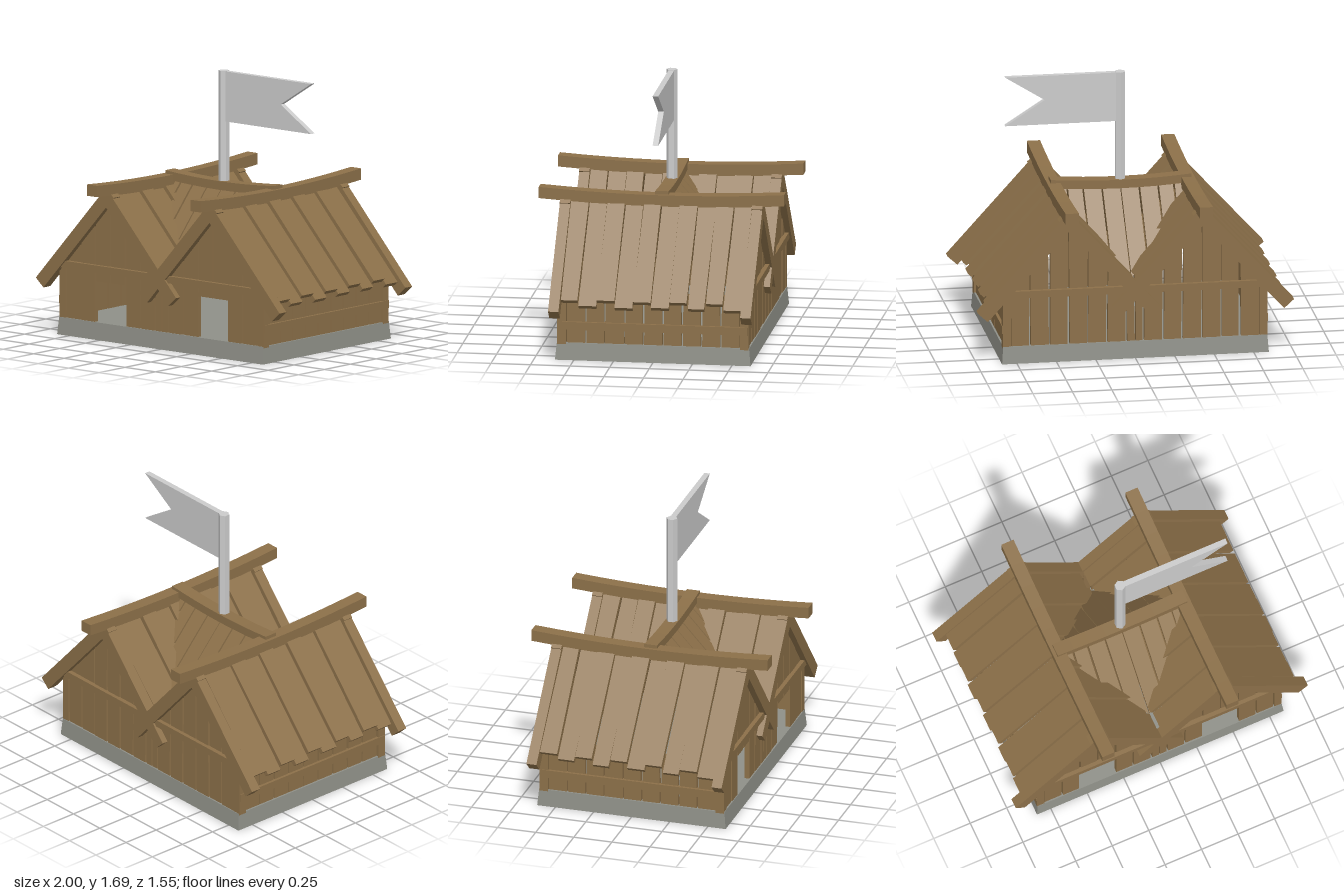
import * as THREE from 'three';

const WOOD = new THREE.MeshStandardMaterial({ color: 0x8c7049, flatShading: true });
const STONE = new THREE.MeshStandardMaterial({ color: 0x8f9088, flatShading: true });
const GREY = new THREE.MeshStandardMaterial({ color: 0xcccccc, flatShading: true });

const PITCH = 0.834;          // roof angle
const RIDGE_X = 0.425, APEX_Y = 0.98;
const COS = Math.cos(PITCH), TAN = Math.tan(PITCH);

// Small repeatable variation in 0..1
let seed = 7;
const vary = () => (seed = (seed * 16807) % 2147483647) / 2147483647;

function add(parent, name, geometry, material, x = 0, y = 0, z = 0) {
  const mesh = new THREE.Mesh(geometry, material);
  mesh.name = name;
  mesh.position.set(x, y, z);
  parent.add(mesh);
  return mesh;
}

// Apply a rule to every vertex
function bend(geometry, rule) {
  const p = geometry.attributes.position;
  const v = new THREE.Vector3();
  for (let i = 0; i < p.count; i++) {
    v.fromBufferAttribute(p, i);
    rule(v);
    p.setXYZ(i, v.x, v.y, v.z);
  }
  geometry.computeVertexNormals();
  return geometry;
}

function slab(points, depth) {
  const shape = new THREE.Shape(points.map(([x, y]) => new THREE.Vector2(x, y)));
  return new THREE.ExtrudeGeometry(shape, { depth, bevelEnabled: false });
}

// Board along a roof slope: from s0 to s1 down the slope, top face at height h
function slopeBoard(parent, name, s0, s1, h, thick, z, width, taper = 0) {
  const g = bend(new THREE.BoxGeometry(s1 - s0, thick, width), v => {
    if (v.x * taper > 0) v.z *= 1 - Math.abs(taper);
  });
  add(parent, name, g, WOOD, (s0 + s1) / 2, h - thick / 2, z);
}

// One gable end made of vertical planks beneath the roof line
function gableWall(side, hasDoors) {
  const wall = new THREE.Group();
  wall.name = side > 0 ? 'frontWall' : 'backWall';
  const top = x => 0.89 - TAN * Math.abs(x - 0.421);
  const edges = [0, 0.055, 0.177, 0.299, 0.421, 0.543, 0.665, 0.787];
  for (const m of [-1, 1]) {
    for (let i = 0; i < 7; i++) {
      const door = hasDoors && (i === 3 || i === 4);
      const bottom = door ? 0.37 : 0.1;
      const gap = () => 0.001 + 0.008 * vary();
      const [a, b, c, d] = [edges[i] + gap(), edges[i + 1] - gap(), edges[i + 1] - gap(), edges[i] + gap()];
      const pts = [[a, bottom], [b, bottom], [c, top(c)], [d, top(d)]].map(([x, y]) => [x * m, y]);
      add(wall, 'wallPlank', slab(pts, 0.03), WOOD, 0, 0, side * 0.585 - 0.015 + 0.006 * (vary() - 0.5));
    }
    add(wall, 'tieBeam', new THREE.BoxGeometry(0.78, 0.045, 0.03), WOOD, m * 0.425, 0.452, side * 0.612);
  }
  return wall;
}

// Side wall with planks, a rail and corner posts
function sideWall(m) {
  const wall = new THREE.Group();
  wall.name = m > 0 ? 'leftWall' : 'rightWall';
  for (let i = 0; i < 9; i++) {
    const w = 0.121 - 0.01 * vary();
    const g = bend(new THREE.BoxGeometry(0.03, 0.34, w), v => { if (v.y > 0) v.z *= 0.95; });
    add(wall, 'sidePlank', g, WOOD, m * 0.81, 0.27, (i - 4) * 0.122);
  }
  add(wall, 'rail', new THREE.BoxGeometry(0.03, 0.05, 1.2), WOOD, m * 0.828, 0.22, 0);
  for (const s of [-1, 1])
    add(wall, 'cornerPost', new THREE.BoxGeometry(0.05, 0.34, 0.055), WOOD, m * 0.813, 0.27, s * 0.577);
  return wall;
}

// Roof over one ridge: two slopes of planks, barge boards and a curved ridge beam
function gableRoof(m) {
  const roof = new THREE.Group();
  roof.name = m > 0 ? 'leftRoof' : 'rightRoof';
  for (const d of [-1, 1]) {
    const outer = d === m;
    const slope = new THREE.Group();
    slope.name = outer ? 'outerSlope' : 'innerSlope';
    slope.position.set(m * RIDGE_X, APEX_Y, 0);
    slope.rotation.set(0, d < 0 ? Math.PI : 0, -PITCH);
    for (let i = 0; i < 10; i++) {
      const low = i % 2 === 0;
      const end = outer ? (low ? 0.795 : 0.765) + 0.01 * (vary() - 0.5) : 0.632;
      const taper = (0.03 + 0.07 * vary()) * (vary() > 0.5 ? 1 : -1);
      slopeBoard(slope, 'roofPlank', 0.02, end, low ? -0.025 : -0.005, 0.033, (i - 4.5) * 0.1145, 0.113, taper);
    }
    for (const s of [-1, 1])
      slopeBoard(slope, 'bargeBoard', 0, 0.857, 0, 0.084, s * 0.607, 0.066);
    roof.add(slope);
  }
  const beam = bend(new THREE.BoxGeometry(0.084, 0.072, 1.55, 1, 1, 10), v => {
    v.y += 0.028 * (v.z / 0.775) ** 2;
  });
  add(roof, 'ridgeBeam', beam, WOOD, m * RIDGE_X, 0.952, 0);
  return roof;
}

// Small roof bridging the two ridges, narrowing into the valleys
function crossRoof() {
  const roof = new THREE.Group();
  roof.name = 'crossRoof';
  const edges = [0, 0.12, 0.24, 0.34, 0.42];
  for (const side of [0, Math.PI]) {
    const slope = new THREE.Group();
    slope.name = 'crossSlope';
    slope.rotation.y = side;
    for (const m of [-1, 1]) {
      for (let i = 0; i < 4; i++) {
        const a = edges[i] + 0.003, b = edges[i + 1] - 0.003 - 0.008 * vary();
        const len = x => -(0.435 - x) / COS;
        const pts = [[a, 0], [b, 0], [b, len(b)], [a, len(a)]].map(([x, y]) => [x * m, y]);
        const plank = add(slope, 'crossPlank', slab(pts, 0.025), WOOD, 0, 0.93, 0);
        plank.rotation.x = PITCH - Math.PI / 2;
      }
    }
    roof.add(slope);
  }
  const beam = bend(new THREE.BoxGeometry(0.89, 0.055, 0.084, 8, 1, 1), v => {
    v.y += 0.02 * (v.x / 0.445) ** 2;
  });
  add(roof, 'crossBeam', beam, WOOD, 0, 0.963, 0);
  return roof;
}

export function createModel() {
  const model = new THREE.Group();
  model.name = 'twinGableLodge';

  // Stone plinth, slightly narrower at the top
  const plinth = bend(new THREE.BoxGeometry(1.69, 0.11, 1.236), v => {
    if (v.y > 0) { v.x *= 0.99; v.z *= 0.983; }
  });
  add(model, 'plinth', plinth, STONE, 0, 0.055, 0);

  model.add(gableWall(1, true), gableWall(-1, false));
  for (const m of [-1, 1]) model.add(sideWall(m), gableRoof(m));
  model.add(crossRoof());

  // Hexagonal pole and swallow-tailed flag
  add(model, 'flagPole', new THREE.CylinderGeometry(0.035, 0.035, 0.74, 6), GREY, 0, 1.32, 0);
  const flag = slab([[0.02, 1.37], [0.73, 1.37], [0.48, 1.53], [0.73, 1.688], [0.02, 1.688]], 0.036);
  add(model, 'flag', flag, GREY, 0, 0, -0.018);
  return model;
}
